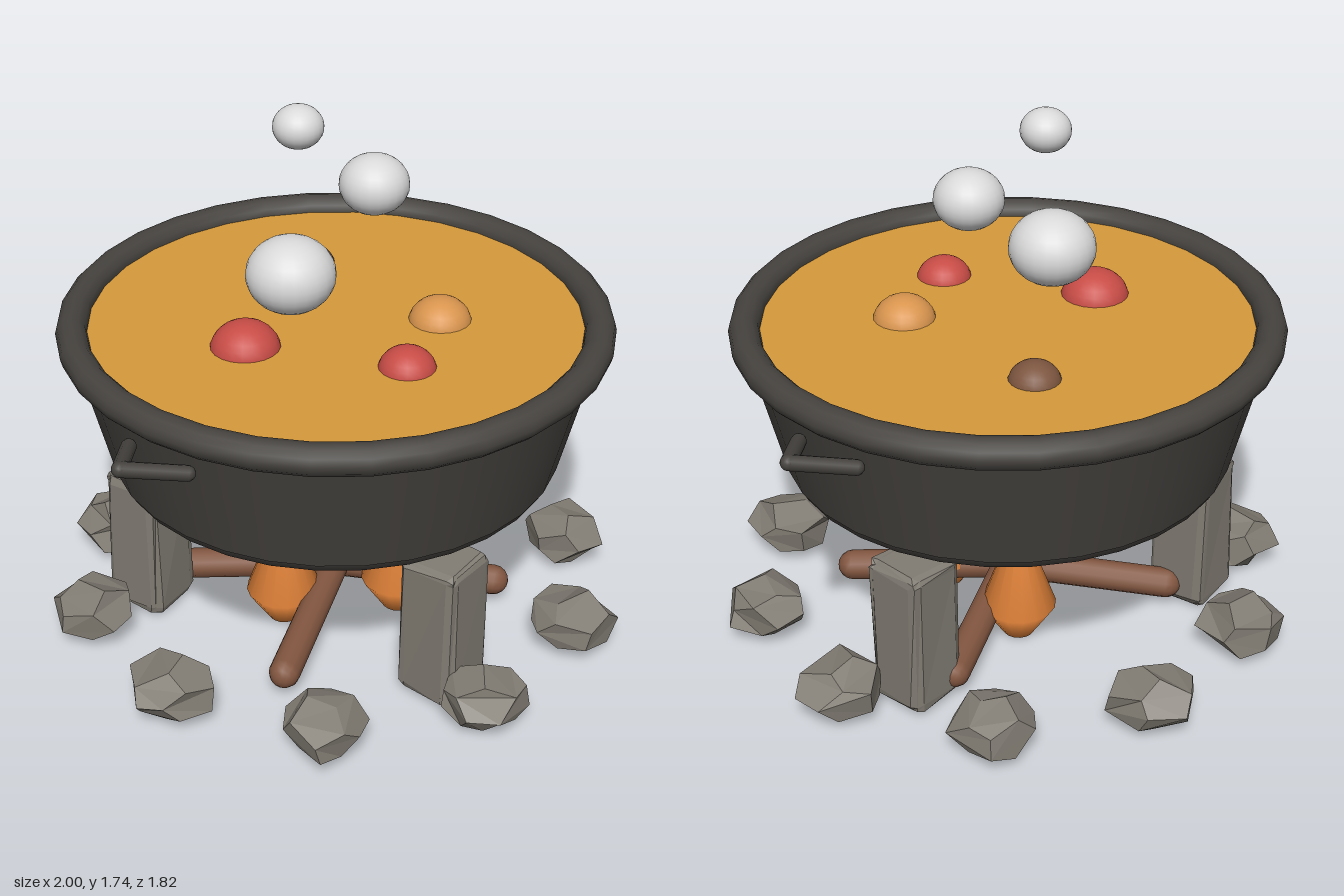
import * as THREE from 'three';
import { RoundedBoxGeometry } from 'three/addons/geometries/RoundedBoxGeometry.js';

const material = (name, color, options = {}) => {
  const m = new THREE.MeshStandardMaterial({ color, ...options });
  m.name = name;
  return m;
};

export function createModel() {
  const model = new THREE.Group();
  model.name = 'cookingPotOverCampfire';

  const iron = material('iron', 0x46433f, { side: THREE.DoubleSide });
  const stone = material('stone', 0x817c73, { flatShading: true });
  const wood = material('wood', 0x825640);
  const flameOrange = material('flame', 0xdd8038, { side: THREE.DoubleSide });
  const broth = material('broth', 0xd69a3a);
  const red = material('tomato', 0xc84c46);
  const orange = material('carrot', 0xd9954e);
  const brown = material('meat', 0x7d5640);
  const steamWhite = material('steam', 0xdadada);

  const add = (name, geometry, mat, x = 0, y = 0, z = 0, parent = model) => {
    const mesh = new THREE.Mesh(geometry, mat);
    mesh.name = name;
    mesh.position.set(x, y, z);
    parent.add(mesh);
    return mesh;
  };

  // Round-ended rod between two points
  const rod = (name, a, b, radius, mat, parent) => {
    const from = new THREE.Vector3(...a), to = new THREE.Vector3(...b);
    const dir = to.clone().sub(from);
    const mesh = add(name, new THREE.CapsuleGeometry(radius, dir.length(), 4, 12), mat, 0, 0, 0, parent);
    mesh.position.copy(from).add(to).multiplyScalar(0.5);
    mesh.quaternion.setFromUnitVectors(new THREE.Vector3(0, 1, 0), dir.normalize());
    return mesh;
  };

  // Repeatable noise; equal corners move together so facets stay closed
  const hash = (x, y, z, seed) => {
    const s = Math.sin(Math.round(x * 100) * 12.99 + Math.round(y * 100) * 78.23 +
      Math.round(z * 100) * 37.72 + seed * 9.17) * 43758.55;
    return s - Math.floor(s) - 0.5;
  };
  const roughen = (geometry, amount, seed) => {
    const p = geometry.attributes.position;
    for (let i = 0; i < p.count; i++) {
      const [x, y, z] = [p.getX(i), p.getY(i), p.getZ(i)];
      p.setXYZ(i, x + amount * hash(x, y, z, seed), y + amount * hash(x, y, z, seed + 1),
        z + amount * hash(x, y, z, seed + 2));
    }
    geometry.computeVertexNormals();
    return geometry;
  };

  // Pot: flared wall, shallow rounded bottom, thick rim
  const pot = new THREE.Group();
  pot.name = 'pot';
  model.add(pot);
  add('potWall', new THREE.CylinderGeometry(0.825, 0.718, 0.43, 32, 1, true), iron, 0, 0.815, 0, pot);
  const bowl = [];
  for (let i = 0; i <= 8; i++) {
    const t = (i / 8) * Math.PI / 2;
    bowl.push(new THREE.Vector2(0.715 * Math.sin(t), 0.6 - 0.14 * Math.cos(t)));
  }
  add('potBottom', new THREE.LatheGeometry(bowl, 32), iron, 0, 0, 0, pot);
  add('potRim', new THREE.TorusGeometry(0.82, 0.049, 12, 32).rotateX(Math.PI / 2), iron, 0, 1.033, 0, pot);

  // Pointed handles, two rods on each side
  for (const sx of [1, -1]) {
    for (const sz of [1, -1]) {
      rod('handle', [sx * 0.82, 0.92, sz * 0.115], [sx * 0.975, 0.965, 0], 0.024, iron, pot);
    }
  }

  // Stew and its floating pieces
  add('stewSurface', new THREE.CylinderGeometry(0.79, 0.79, 0.03, 32), broth, 0, 1.02, 0);
  const pieces = [
    ['tomatoPiece', red, -0.31, -0.105, 0.11],
    ['tomatoPiece', red, -0.105, 0.355, 0.09],
    ['carrotPiece', orange, 0.2, 0.255, 0.1],
    ['meatPiece', brown, 0.255, -0.31, 0.082],
  ];
  for (const [name, mat, x, z, r] of pieces) {
    add(name, new THREE.SphereGeometry(r, 20, 14), mat, x, 1.02, z).scale.y = 0.87;
  }

  // Rising steam puffs
  for (const [x, y, z, r] of [[-0.157, 1.235, -0.05, 0.139], [0.12, 1.465, 0.053, 0.109], [-0.055, 1.67, -0.1, 0.078]]) {
    add('steamPuff', new THREE.SphereGeometry(r, 24, 16), steamWhite, x, y, z).scale.y = 0.86;
  }

  // Standing stones carrying the pot
  for (let i = 0; i < 3; i++) {
    const a = (-11.5 + i * 120) * Math.PI / 180;
    const block = roughen(new RoundedBoxGeometry(0.2, 0.49, 0.2, 1, 0.025), 0.015, i * 5);
    add('supportStone', block, stone, 0.61 * Math.cos(a), 0.25, 0.61 * Math.sin(a)).rotation.y = 0.06 * (i - 1);
  }

  // Ring of rough stones around the fire
  for (let i = 0; i < 10; i++) {
    const a = i * Math.PI / 5;
    const rock = roughen(new THREE.DodecahedronGeometry(1), 0.25, i * 3 + 1);
    const mesh = add('ringStone', rock, stone, 0.81 * Math.cos(a), 0.088, 0.81 * Math.sin(a));
    mesh.scale.set(0.14, 0.09, 0.14);
    mesh.rotation.y = i * 1.3;
  }

  // Logs leaning together at the middle
  for (const [x, z] of [[0.52, -0.21], [-0.52, 0.21], [0.29, 0.44], [-0.29, -0.44]]) {
    rod('log', [x, 0.07, z], [0, 0.115, 0], 0.05, wood);
  }

  // Three flames, pinched at the base
  const flame = [[0, 0], [0.05, 0], [0.122, 0.11], [0, 0.45]].map(([r, y]) => new THREE.Vector2(r, y));
  for (let i = 0; i < 3; i++) {
    const a = (72 + i * 120) * Math.PI / 180;
    add('flame', new THREE.LatheGeometry(flame, 16), flameOrange, 0.22 * Math.cos(a), 0, 0.22 * Math.sin(a));
  }

  return model;
}
